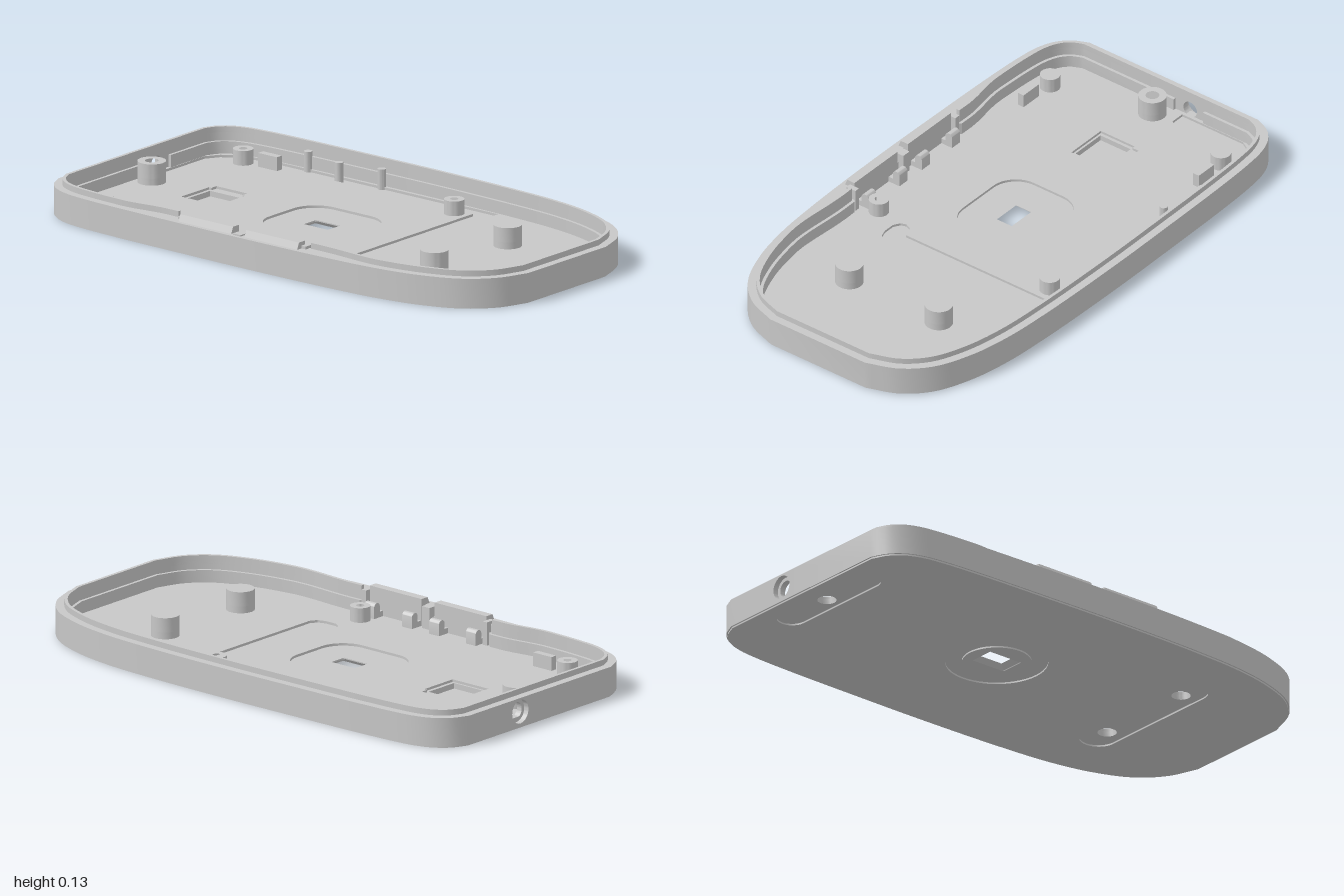
import * as THREE from 'three';
import { toCreasedNormals } from 'three/addons/utils/BufferGeometryUtils.js';

const V = (x, z) => new THREE.Vector2(x, -z); // plan position to shape position

// Outer plan outline: a splined side, mirrored, with flat front and back edges
function makeOutline() {
  const side = [[.21, 1], [.325, .955], [.413, .87], [.472, .735], [.506, .57], [.522, .35], [.529, 0],
    [.527, -.3], [.522, -.6], [.514, -.77], [.502, -.86], [.477, -.925], [.435, -.972], [.375, -1]];
  const curve = new THREE.CatmullRomCurve3(side.map(([x, z]) => new THREE.Vector3(x, 0, z)));
  const right = curve.getSpacedPoints(80).map(p => V(p.x, p.z));
  const left = right.map(p => new THREE.Vector2(-p.x, p.y)).reverse();
  return [...right, V(.17, -1), V(.04, -1), ...left];
}

// Moves a closed outline inward by d
function inset(pts, d) {
  const n = pts.length;
  return pts.map((p, i) => {
    const a = p.clone().sub(pts[(i + n - 1) % n]).normalize();
    const b = pts[(i + 1) % n].clone().sub(p).normalize();
    const na = new THREE.Vector2(-a.y, a.x), nb = new THREE.Vector2(-b.y, b.x);
    const m = na.add(nb).normalize();
    return p.clone().addScaledVector(m, d / Math.max(.6, m.dot(nb)));
  });
}

// Thickens the wall on either side of the button bay on the -x side
function pinch(pts) {
  return pts.map(p => {
    const z = -p.y;
    if (p.x > 0 || (z > -.36 && z < .21)) return p;
    const t = z < 0 ? THREE.MathUtils.smoothstep(z, -.62, -.42) : 1 - THREE.MathUtils.smoothstep(z, .26, .56);
    return new THREE.Vector2(p.x + .025 * t, p.y);
  });
}

const rect = (x0, x1, z0, z1) => [V(x0, z0), V(x1, z0), V(x1, z1), V(x0, z1)];
const circle = (x, z, r, n = 32) => Array.from({ length: n }, (_, i) =>
  V(x + r * Math.cos(i / n * Math.PI * 2), z + r * Math.sin(i / n * Math.PI * 2)));

// Rounded rectangle; also gives stadium shapes
function rounded(cx, cz, hx, hz, r) {
  const pts = [];
  [[1, 1], [-1, 1], [-1, -1], [1, -1]].forEach(([sx, sz], k) => {
    for (let i = 0; i <= 10; i++) {
      const a = (k + i / 10) * Math.PI / 2;
      pts.push(V(cx + sx * (hx - r) + r * Math.cos(a), cz + sz * (hz - r) + r * Math.sin(a)));
    }
  });
  return pts;
}

// Upright plate from y0 to y1
function plate(pts, y0, y1, holes = []) {
  const shape = new THREE.Shape(pts);
  shape.holes = holes.map(h => new THREE.Path(h));
  const g = new THREE.ExtrudeGeometry(shape, { depth: y1 - y0, bevelEnabled: false });
  g.rotateX(-Math.PI / 2).translate(0, y0, 0);
  return toCreasedNormals(g, .5);
}

export function createModel() {
  const group = new THREE.Group();
  const grey = new THREE.MeshStandardMaterial({ color: 0xc7c7c7 });
  grey.name = 'light grey plastic';
  const add = (name, geometry) => {
    const mesh = new THREE.Mesh(geometry, grey);
    mesh.name = name;
    group.add(mesh);
  };
  const box = (name, x0, x1, y0, y1, z0, z1) => add(name, plate(rect(x0, x1, z0, z1), y0, y1));

  const outer = makeOutline();
  const inner = pinch(inset(outer, .042));
  const stepInner = pinch(inset(outer, .053));
  const lipOuter = pinch(inset(outer, .03));
  const floorEdge = inset(outer, .02);

  // Floor in three layers, so that recesses show from both sides
  const F0 = .006, F1 = .026, F2 = .035;
  const screws = [[-.203, .565], [.195, .565], [-.006, -.886]];
  const screwHoles = screws.map(([x, z]) => circle(x, z, .034, 24));
  const lensX = -.007, lensZ = -.111;
  const lensRect = (hx, hz) => rect(lensX - hx, lensX + hx, lensZ - hz, lensZ + hz);
  add('baseSkin', plate(inset(outer, .005), 0, F0, [
    rounded(0, .567, .31, .067, .066),
    rounded(-.015, -.886, .25, .053, .052),
    circle(lensX, lensZ, .18, 48),
  ]));
  add('lensRing', plate(circle(lensX, lensZ, .122, 48), 0, F0, [lensRect(.052, .074)]));
  add('floor', plate(floorEdge, F0, F1, [...screwHoles, lensRect(.052, .074), rect(-.072, .062, -.678, -.538)]));

  // Sensor window: thin rim above an inward sloping funnel
  add('lensRim', plate(lensRect(.053, .075), F1 - .004, F1, [lensRect(.033, .054)]));
  const funnel = new THREE.CylinderGeometry(.033 * Math.SQRT2, .052 * Math.SQRT2, F1 - F0 - .004, 4, 1, true);
  const funnelFaces = funnel.rotateY(Math.PI / 4).scale(-1, 1, 1.5).toNonIndexed();
  funnelFaces.computeVertexNormals();
  add('lensFunnel', funnelFaces.translate(lensX, (F1 + F0 - .004) / 2, lensZ));

  // Cable channel along the +x side, ending in a hook
  const channel = [[.08, -.945], [.35, -.945], [.4, -.915], [.44, -.85], [.46, -.75], [.465, .295], [-.26, .295],
    [-.285, .28], [-.295, .25], [-.295, .205], [-.28, .18], [-.26, .173], [-.235, .185], [-.228, .21],
    [-.22, .225], [.412, .225], [.412, -.82], [.335, -.875], [.1, -.875], [.08, -.89]].map(([x, z]) => V(x, z));
  const pocket = [[-.08, -.69], [.07, -.69], [.07, -.678], [.097, -.678], [.097, -.538], [.07, -.538],
    [.07, -.525], [-.08, -.525]].map(([x, z]) => V(x, z));
  add('floorTop', plate(floorEdge, F1, F2, [
    ...screwHoles, channel, pocket,
    rounded(-.003, -.114, .165, .185, .1),
  ]));

  // Side wall with an inner step, open at the back where the cable port sits
  const k = 82, n = outer.length;
  const turn = pts => [...pts.slice(k), ...pts.slice(0, k)];
  add('sideWall', plate([...turn(outer), ...turn(inner).reverse()], F0, .11));
  add('wallStep', plate([...turn(inner), ...turn(stepInner).reverse()], F1, .08));

  // Port: wide countersink outside, smaller hole inside
  [[-1, .02, .043], [-.98, .022, .03]].forEach(([z, depth, radius]) => {
    const panel = new THREE.Shape([[.04, F0], [.17, F0], [.17, .11], [.04, .11]].map(p => new THREE.Vector2(...p)));
    panel.holes.push(new THREE.Path().absarc(.105, .06, radius, 0, Math.PI * 2, true));
    const g = new THREE.ExtrudeGeometry(panel, { depth, bevelEnabled: false, curveSegments: 24 });
    add('cablePort', toCreasedNormals(g.translate(0, 0, z), .5));
  });

  // Raised lip, interrupted by the button bay
  const inBay = p => p.x < 0 && -p.y > -.36 && -p.y < .21;
  const first = outer.findIndex(inBay);
  const last = n - 1 - [...outer].reverse().findIndex(inBay);
  const openRing = pts => [...pts.slice(last + 1), ...pts.slice(0, first)];
  add('lip', plate([...openRing(lipOuter), ...openRing(inner).reverse()], .1, .131));

  // Button bay ledges with sloped outer edges, and a small centre latch
  [[-.34, -.1], [-.04, .2]].forEach(([z0, z1]) => {
    const s = new THREE.Shape([[-.513, F2], [-.47, F2], [-.47, .134], [-.502, .134], [-.513, .108]]
      .map(p => new THREE.Vector2(...p)));
    add('bayLedge', new THREE.ExtrudeGeometry(s, { depth: z1 - z0, bevelEnabled: false }).translate(0, 0, z0));
  });
  box('bayLatch', -.515, -.455, F2, .115, -.09, -.055);
  box('bayStop', -.49, -.45, F2, .12, -.36, -.34);
  box('bayStop', -.49, -.45, F2, .12, .2, .22);

  // Rounded button hooks
  [-.31, -.14, -.015, .16].forEach(z => {
    const s = new THREE.Shape();
    s.moveTo(-.475, F2);
    s.lineTo(-.422, F2);
    s.lineTo(-.422, .075);
    s.absarc(-.437, .075, .015, 0, Math.PI, false);
    s.lineTo(-.452, .055);
    s.lineTo(-.475, .055);
    const g = new THREE.ExtrudeGeometry(s, { depth: .045, bevelEnabled: false });
    add('buttonHook', toCreasedNormals(g.translate(0, 0, z - .022), .5));
  });

  // Counterbored screw bosses and circuit board posts
  screws.forEach(([x, z]) => {
    add('screwBossBase', plate(circle(x, z, .05), F1, .06, [circle(x, z, .034, 24)]));
    add('screwBoss', plate(circle(x, z, .05), .06, .112, [circle(x, z, .024, 24)]));
  });
  [-.385, .375].forEach(x => {
    [-.79, .17].forEach(z => add('boardPost', plate(circle(x, z, .036), F1, .088, [circle(x, z, .015, 16)])));
  });
  box('boardRib', -.405, -.38, F2, .085, -.72, -.635);
  box('boardRib', .373, .4, F2, .085, -.72, -.635);

  // Cable guide pegs in the channel
  [[.465, -.57], [.43, -.4], [.465, -.235]].forEach(([x, z]) =>
    add('cablePeg', plate(circle(x, z, .015, 16), F1, .1)));

  return group;
}
